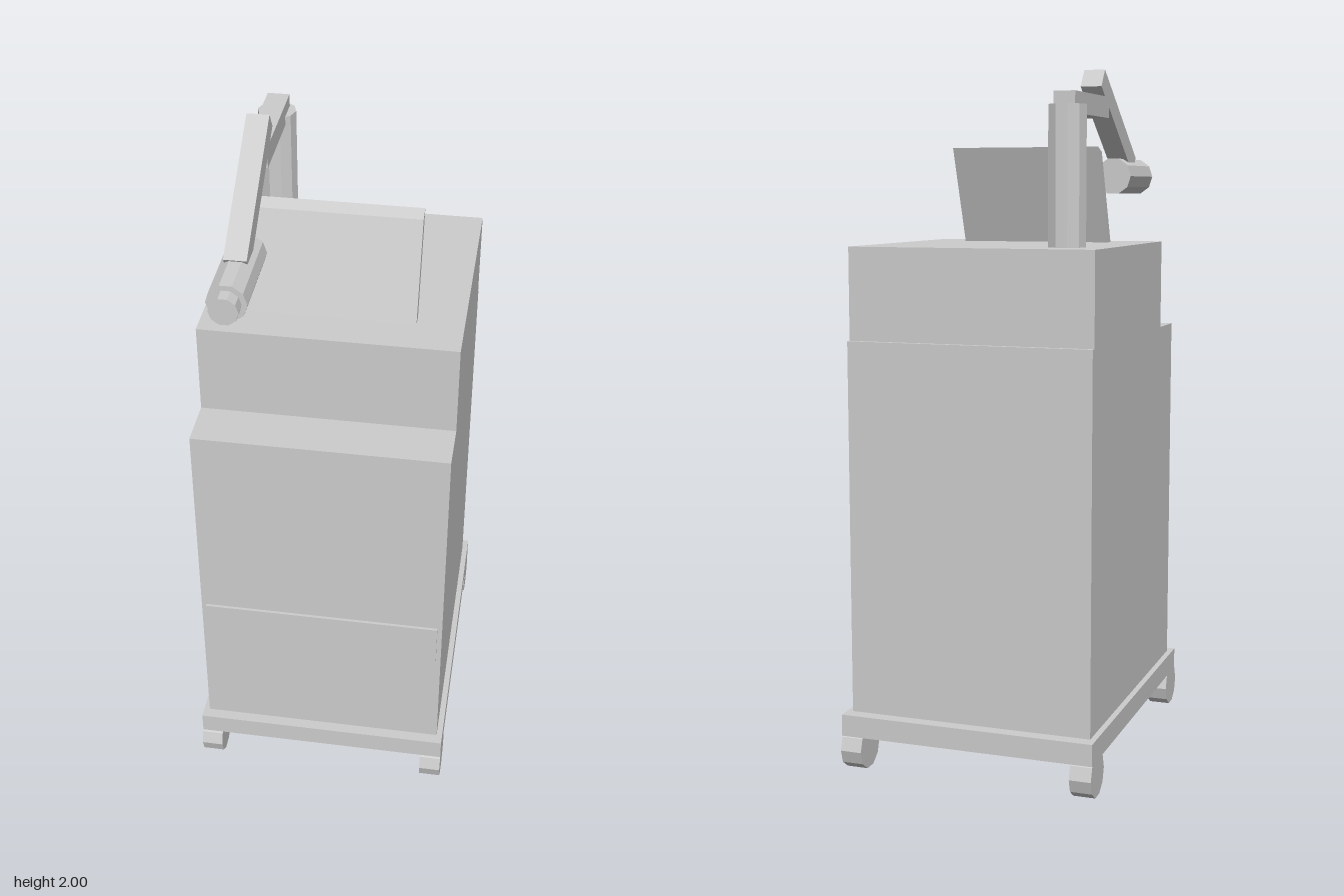
import * as THREE from 'three';

export function createModel() {
  const model = new THREE.Group();
  model.name = 'equipmentCart';
  const grey = new THREE.MeshStandardMaterial({ color: 0xcccccc, flatShading: true });
  grey.name = 'lightGrey';

  const add = (name, geometry, x = 0, y = 0, z = 0) => {
    const mesh = new THREE.Mesh(geometry, grey);
    mesh.name = name;
    mesh.position.set(x, y, z);
    model.add(mesh);
    return mesh;
  };

  // Side outline given as [z, y] points, extruded across x and centred on it
  const sideProfile = (points, width) => {
    const shape = new THREE.Shape(points.map(([z, y]) => new THREE.Vector2(z, y)));
    return new THREE.ExtrudeGeometry(shape, { depth: width, bevelEnabled: false })
      .rotateY(-Math.PI / 2)
      .translate(width / 2, 0, 0);
  };

  // Ten-sided cylinder with corners pointing to +x and -x
  const decagon = (radius, length) =>
    new THREE.CylinderGeometry(radius, radius, length, 10).rotateY(Math.PI / 2);

  // Base plate and four wheels
  add('basePlate', new THREE.BoxGeometry(0.75, 0.063, 0.948), 0, 0.134, -0.01);
  for (const side of [-1, 1]) {
    for (const z of [0.417, -0.43]) {
      const wheel = new THREE.CylinderGeometry(0.064, 0.064, 0.063, 10).rotateZ(Math.PI / 2);
      add('wheel', wheel, side * 0.3435, 0.061, z);
    }
  }

  // Cabinet with a stepped top and a small ledge at the back
  add('cabinet', sideProfile([
    [0.432, 0.165], [0.432, 1.24], [0.288, 1.24], [0.288, 1.503],
    [-0.429, 1.503], [-0.429, 1.24], [-0.445, 1.24], [-0.445, 0.165],
  ], 0.716));
  add('drawerFront', new THREE.BoxGeometry(0.688, 0.13, 0.009), 0, 0.557, 0.436);

  // Tilted screen
  add('screen', sideProfile([
    [0.176, 1.503], [0.139, 1.503], [0.037, 1.77 + 0.014], [0.075, 1.77],
  ], 0.455));

  // Column and jointed arm
  const armX = -0.23;
  add('column', decagon(0.055, 0.39), armX, 1.695, -0.27);
  add('upperArm', new THREE.BoxGeometry(0.062, 0.06, 0.33), armX, 1.895, -0.135);
  add('lowerArm', sideProfile([
    [-0.013, 2.0], [0.334, 1.757], [0.299, 1.708], [-0.048, 1.951],
  ], 0.062), armX);

  // Camera at the end of the arm, with a narrower lens
  add('cameraBody', decagon(0.055, 0.26).rotateX(Math.PI / 2), armX, 1.7, 0.32);
  add('cameraLens', decagon(0.04, 0.05).rotateX(Math.PI / 2), armX, 1.7, 0.465);

  return model;
}
